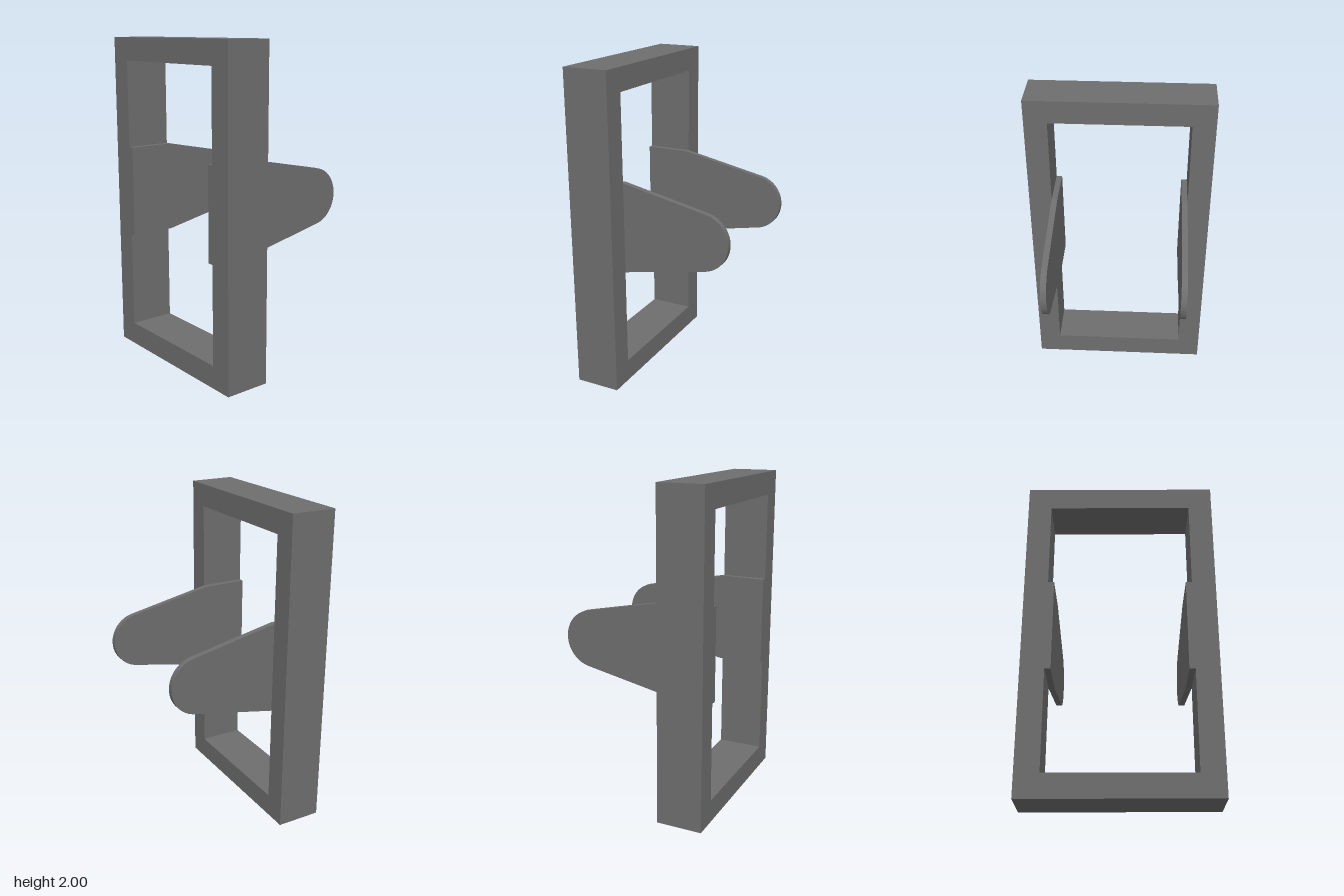
import * as THREE from 'three';

const material = new THREE.MeshStandardMaterial({ color: 0x6e6e6e });

// Rectangular frame with an open middle
function createFrame() {
  const w = 0.571, inner = 0.429;
  const shape = new THREE.Shape();
  shape.moveTo(-w, 0).lineTo(w, 0).lineTo(w, 2).lineTo(-w, 2).closePath();
  const hole = new THREE.Path();
  hole.moveTo(-inner, 0.142).lineTo(-inner, 1.858).lineTo(inner, 1.858).lineTo(inner, 0.142).closePath();
  shape.holes.push(hole);
  const geometry = new THREE.ExtrudeGeometry(shape, { depth: 0.284, bevelEnabled: false });
  geometry.translate(0, 0, 0.197);
  const mesh = new THREE.Mesh(geometry, material);
  mesh.name = 'frame';
  return mesh;
}

// Side plate: straight inside the frame, tapering to a round end behind it.
// Drawn with u = -z across and y up, then turned to face sideways.
function createPlate(name, x0, thickness) {
  const midY = 1.037, half = 0.284, cu = 0.304, r = 0.178, tilt = 0.2;
  const shape = new THREE.Shape();
  shape.moveTo(-0.481, midY - half);
  shape.lineTo(-0.197, midY - half);
  shape.absarc(cu, midY, r, -Math.PI / 2 + tilt, Math.PI / 2 - tilt, false);
  shape.lineTo(-0.197, midY + half);
  shape.lineTo(-0.481, midY + half);
  shape.closePath();
  const geometry = new THREE.ExtrudeGeometry(shape, { depth: thickness, bevelEnabled: false, curveSegments: 32 });
  geometry.rotateY(Math.PI / 2);
  geometry.translate(x0, 0, 0);
  const mesh = new THREE.Mesh(geometry, material);
  mesh.name = name;
  return mesh;
}

export function createModel() {
  const group = new THREE.Group();
  group.name = 'frameWithSidePlates';
  const inner = 0.429, thickness = 0.036;
  group.add(createFrame());
  group.add(createPlate('leftPlate', inner - thickness, thickness));
  group.add(createPlate('rightPlate', -inner, thickness));
  return group;
}
